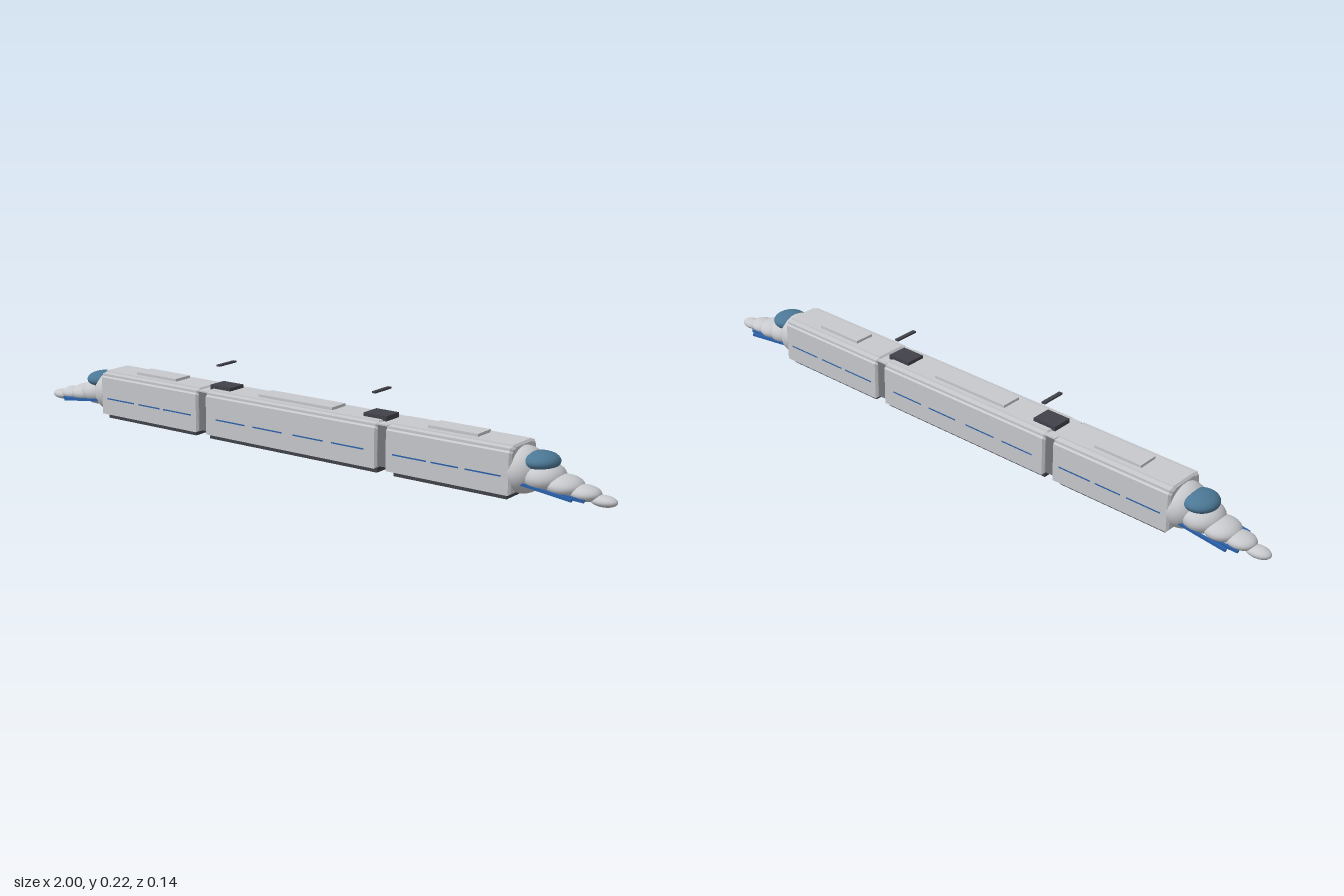
import * as THREE from 'three';

const mat = (name, color) => {
  const m = new THREE.MeshStandardMaterial({ color });
  m.name = name;
  return m;
};

export function createModel() {
  const train = new THREE.Group();
  train.name = 'train';
  const shell = mat('light grey', 0xc8c9cd);
  const dark = mat('dark grey', 0x41424a);
  const mid = mat('gangway grey', 0x75767c);
  const glass = mat('windshield blue', 0x4c7896);
  const blue = mat('stripe blue', 0x2c62ac);

  const add = (parent, name, geo, material, x = 0, y = 0, z = 0) => {
    const m = new THREE.Mesh(geo, material);
    m.name = name;
    m.position.set(x, y, z);
    parent.add(m);
    return m;
  };
  // box given by its limits in x and y, centred on z
  const slab = (parent, name, x0, x1, y0, y1, halfZ, material) =>
    add(parent, name, new THREE.BoxGeometry(x1 - x0, y1 - y0, halfZ * 2), material, (x0 + x1) / 2, (y0 + y1) / 2);

  // one car: stepped section with bevelled ends, skirt and roof unit
  const section = new THREE.Shape();
  const right = [[0.068, 0.015], [0.068, 0.13], [0.063, 0.134], [0.063, 0.141], [0.047, 0.143], [0.046, 0.147]];
  right.forEach(([z, y], i) => (i ? section.lineTo(z, y) : section.moveTo(z, y)));
  [...right].reverse().forEach(([z, y]) => section.lineTo(-z, y));
  section.closePath();

  const car = (name, x0, x1, skirt, unit, windows) => {
    const g = new THREE.Group();
    g.name = name;
    const b = 0.006;
    const body = new THREE.ExtrudeGeometry(section, {
      depth: x1 - x0 - 2 * b, bevelSize: b, bevelOffset: -b, bevelThickness: b, bevelSegments: 1,
    });
    body.rotateY(Math.PI / 2);
    add(g, 'carBody', body, shell, x0 + b);
    slab(g, 'skirt', skirt[0], skirt[1], 0, 0.022, 0.052, dark);
    slab(g, 'roofUnit', unit[0], unit[1], 0.14, 0.155, 0.032, shell);
    windows.forEach(([a, c]) => slab(g, 'sideStripe', a, c, 0.063, 0.067, 0.0684, blue));
    train.add(g);
  };
  const mirror = (r) => [-r[1], -r[0]];
  const endStripes = [[0.36, 0.47], [0.485, 0.57], [0.59, 0.7]];
  const midStripes = [[0.02, 0.125], [0.155, 0.265]];
  car('middleCar', -0.307, 0.307, [-0.3, 0.3], [-0.132, 0.132], [...midStripes, ...midStripes.map(mirror)]);
  car('leftCar', 0.335, 0.728, [0.355, 0.71], [0.45, 0.607], endStripes);
  car('rightCar', -0.728, -0.335, [-0.71, -0.355], [-0.607, -0.45], endStripes.map(mirror));

  const ball = (parent, name, [x, y, rx, ry, rz], material) => {
    const geo = new THREE.SphereGeometry(1, 32, 20);
    geo.scale(rx, ry, rz);
    return add(parent, name, geo, material, x, y);
  };

  // nose of overlapping ellipsoids, built towards +x and turned for the other end
  const nose = (name, turn) => {
    const g = new THREE.Group();
    g.name = name;
    [
      [0.73, 0.074, 0.06, 0.064, 0.07],
      [0.79, 0.065, 0.06, 0.04, 0.062],
      [0.85, 0.052, 0.053, 0.028, 0.052],
      [0.908, 0.042, 0.045, 0.021, 0.038],
      [0.962, 0.03, 0.038, 0.015, 0.024],
    ].forEach((e) => ball(g, 'noseSegment', e, shell));
    ball(g, 'windshield', [0.78, 0.106, 0.05, 0.025, 0.053], glass);
    // sloping blue stripes low on both sides
    for (const s of [-1, 1]) {
      const long = add(g, 'noseStripe', new THREE.BoxGeometry(0.16, 0.008, 0.008), blue, 0.82, 0.042, s * 0.054);
      long.rotation.z = -0.12;
      const short = add(g, 'lowerNoseStripe', new THREE.BoxGeometry(0.08, 0.008, 0.008), blue, 0.885, 0.034, s * 0.039);
      short.rotation.set(0, s * 0.12, -0.1);
    }
    g.rotation.y = turn;
    train.add(g);
  };
  nose('leftNose', 0);
  nose('rightNose', Math.PI);

  // gangways between cars and current collectors on the roof
  for (const s of [-1, 1]) {
    const x = s * 0.32;
    slab(train, 'gangway', x - 0.018, x + 0.018, 0.022, 0.138, 0.059, mid);
    slab(train, 'gangwayRoof', x - 0.018, x + 0.018, 0.138, 0.142, 0.059, shell);
    const p = s * 0.277;
    slab(train, 'collectorBase', p - 0.038, p + 0.038, 0.143, 0.157, 0.031, dark);
    slab(train, 'collectorBar', p - 0.006, p + 0.006, 0.218, 0.223, 0.038, dark);
  }
  return train;
}
